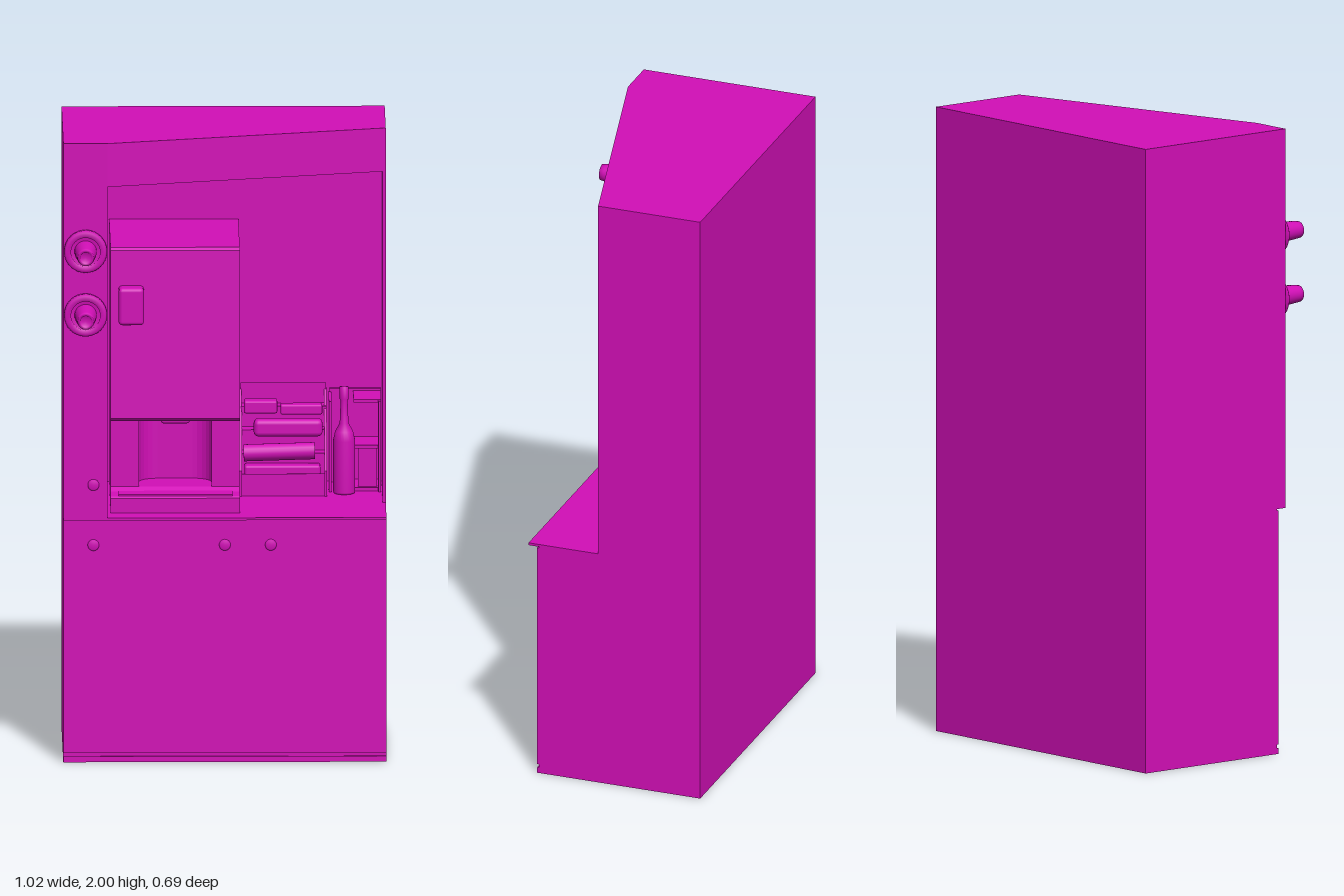
import * as THREE from 'three';
import { RoundedBoxGeometry } from 'three/addons/geometries/RoundedBoxGeometry.js';

const magenta = new THREE.MeshStandardMaterial({ color: 0xd20fb7 });

export function createModel() {
  const model = new THREE.Group();

  const add = (name, geometry, x = 0, y = 0, z = 0) => {
    const mesh = new THREE.Mesh(geometry, magenta);
    mesh.name = name;
    mesh.position.set(x, y, z);
    model.add(mesh);
    return mesh;
  };
  // Box given by its limits on each axis, optionally rounded
  const box = (name, [x0, x1], [y0, y1], [z0, z1], r = 0) => {
    const size = [x1 - x0, y1 - y0, z1 - z0];
    const g = r ? new RoundedBoxGeometry(...size, 2, r) : new THREE.BoxGeometry(...size);
    return add(name, g, (x0 + x1) / 2, (y0 + y1) / 2, (z0 + z1) / 2);
  };
  // Plan outline of [x, z] points raised from y0 to y1
  const plan = (name, points, y0, y1) => {
    const shape = new THREE.Shape(points.map(([x, z]) => new THREE.Vector2(x, -z)));
    const g = new THREE.ExtrudeGeometry(shape, { depth: y1 - y0, bevelEnabled: false });
    return add(name, g.rotateX(-Math.PI / 2), 0, y0, 0);
  };
  // Side outline of [z, y] points stretched from x0 to x1
  const profile = (name, points, x0, x1) => {
    const shape = new THREE.Shape(points.map(([z, y]) => new THREE.Vector2(z, y)));
    const g = new THREE.ExtrudeGeometry(shape, { depth: x1 - x0, bevelEnabled: false });
    return add(name, g.rotateY(-Math.PI / 2), x1, 0, 0);
  };
  // Turned part of [radius, length] points facing the front
  const turned = (name, points, x, y, z) => {
    const g = new THREE.LatheGeometry(points.map(p => new THREE.Vector2(...p)), 32);
    return add(name, g.rotateX(Math.PI / 2), x, y, z);
  };

  // Cabinet
  box('lowerCabinet', [-0.51, 0.51], [0, 0.785], [-0.345, 0.2]);
  box('lowerDoor', [-0.51, 0.51], [0.03, 0.78], [0.19, 0.206]);
  box('baseStrip', [-0.51, 0.51], [0, 0.018], [0.19, 0.206]);
  box('countertop', [-0.51, 0.51], [0.785, 0.793], [-0.345, 0.235]);
  box('backWall', [-0.38, 0.505], [0.79, 1.87], [-0.345, -0.33]);
  box('rightWall', [0.5, 0.51], [0.79, 1.86], [-0.345, 0]);
  box('leftColumn', [-0.51, -0.37], [0.79, 1.86], [-0.345, 0.235]);
  plan('header', [[-0.51, -0.345], [-0.51, 0.235], [-0.37, 0.235], [0.51, 0], [0.51, -0.345]], 1.86, 2);

  // Control knobs on the column
  for (const y of [1.45, 1.655]) {
    turned('knobPlate', [[0, 0], [0.068, 0], [0.068, 0.018], [0.062, 0.024], [0.046, 0.024], [0.046, 0.016], [0, 0.016]], -0.44, y, 0.235);
    turned('knob', [[0.036, 0], [0.034, 0.04], [0.03, 0.078], [0.028, 0.1], [0.026, 0.115], [0.018, 0.115], [0.016, 0.108], [0, 0.108]], -0.44, y, 0.235);
  }

  // Small round buttons
  for (const [x, y, z] of [[-0.415, 0.9, 0.235], [-0.415, 0.7, 0.205], [0, 0.7, 0.205], [0.145, 0.7, 0.205]]) {
    turned('button', [[0.018, 0], [0.018, 0.004], [0.014, 0.008], [0, 0.008]], x, y, z);
  }

  // Drinks machine: head, recessed stand and drip tray
  profile('machineHead', [[-0.325, 1.085], [0.135, 1.085], [0.145, 1.095], [0.123, 1.632], [0.113, 1.64], [-0.325, 1.64]], -0.36, 0.048);
  const recess = [];
  for (let i = 0; i <= 6; i++) {
    const a = (i / 6) * Math.PI / 2;
    recess.push([-0.21 - 0.06 * Math.cos(a), 0 - 0.06 * Math.sin(a)]);
  }
  const mirrored = recess.map(([x, z]) => [-0.31 - x, z]).reverse();
  plan('machineStand', [[-0.36, -0.325], [-0.36, 0.068], [-0.27, 0.068], ...recess, ...mirrored,
    [-0.04, 0.068], [0.048, 0.068], [0.048, -0.325]], 0.8, 1.086);
  profile('dripTray', [[-0.2, 0.793], [0.157, 0.793], [0.157, 0.84], [0.15, 0.845], [0.09, 0.848], [0.07, 0.86], [-0.2, 0.86]], -0.36, 0.048);
  box('dripGrid', [-0.335, 0.025], [0.845, 0.85], [0.06, 0.145]);
  box('touchPanel', [-0.335, -0.255], [1.4, 1.52], [0.1, 0.178], 0.012);
  box('spout', [-0.2, -0.11], [1.06, 1.09], [0, 0.06], 0.008);

  // Stepped snack rack
  const steps = [[-0.328, 0.793], [-0.1, 0.793], [-0.1, 0.865]];
  for (let i = 0; i < 4; i++) {
    const z = -0.155 - i * 0.052, y = 0.855 + i * 0.065;
    steps.push([z, y], [z, y + 0.065]);
  }
  steps.push([-0.328, 1.095]);
  profile('snackRack', steps, 0.055, 0.325);
  for (const x of [0.05, 0.318]) {
    profile('rackSide', [[-0.328, 0.793], [-0.095, 0.793], [-0.095, 0.875], [-0.31, 1.095], [-0.328, 1.095]], x, x + 0.008);
  }
  const roll = add('snackRoll', new THREE.CylinderGeometry(0.027, 0.027, 0.225, 20), 0.175, 0.932, -0.12);
  roll.rotation.z = Math.PI / 2 + 0.03;
  box('snackBar', [0.095, 0.312], [0.97, 1.025], [-0.21, -0.16], 0.015);
  box('snackPackTop', [0.065, 0.17], [1.035, 1.075], [-0.265, -0.215], 0.006);
  box('snackPackSide', [0.18, 0.312], [1.03, 1.062], [-0.26, -0.22], 0.006);
  box('snackPackLow', [0.065, 0.305], [0.85, 0.89], [-0.155, -0.105], 0.008);

  // Open crate beside the rack
  box('crateBack', [0.335, 0.497], [0.793, 1.095], [-0.328, -0.315]);
  for (const x of [0.332, 0.488]) box('crateSide', [x, x + 0.009], [0.793, 1.085], [-0.32, -0.16]);
  for (const y of [0.793, 0.93, 1.078]) box('crateShelf', [0.41, 0.497], [y, y + 0.01], [-0.32, -0.18]);
  box('carton', [0.425, 0.485], [0.803, 0.925], [-0.31, -0.2]);

  // Bottle
  const bottle = [[0, 0], [0.033, 0], [0.035, 0.006], [0.035, 0.17], [0.028, 0.2], [0.014, 0.225],
    [0.011, 0.3], [0.014, 0.302], [0.014, 0.342], [0, 0.345]];
  add('bottle', new THREE.LatheGeometry(bottle.map(p => new THREE.Vector2(...p)), 24), 0.38, 0.793, -0.15);

  return model;
}
